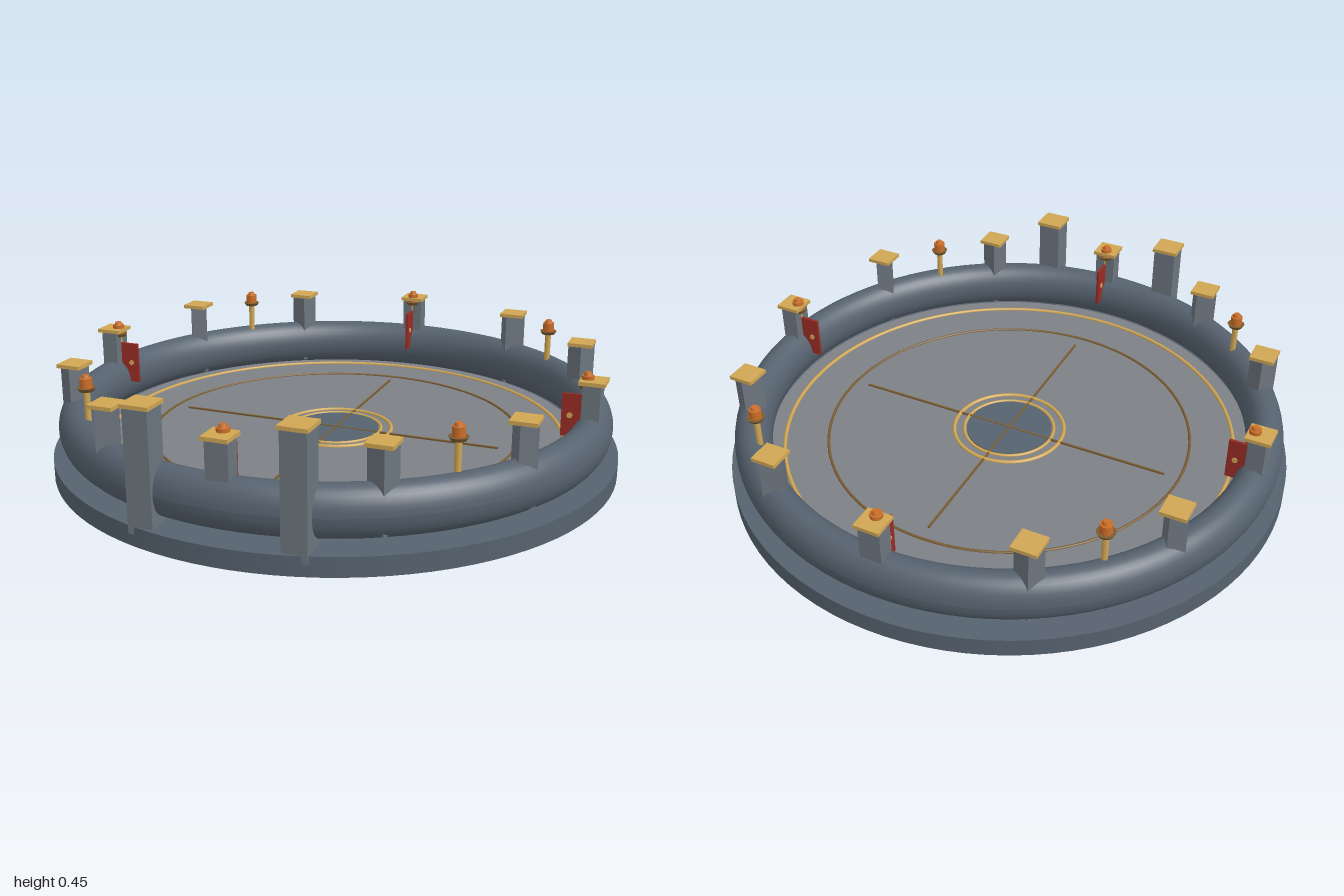
import * as THREE from 'three';

const mat = (color) => new THREE.MeshStandardMaterial({ color });
const slate = mat(0x56626f), stone = mat(0x6c757e), paving = mat(0x7d8185), gold = mat(0xd0a654);
const bronze = mat(0x7a5c32), orange = mat(0xcc6e28), red = mat(0x9a2c24);

function add(parent, name, geometry, material, x = 0, y = 0, z = 0) {
  const mesh = new THREE.Mesh(geometry, material);
  mesh.name = name;
  mesh.position.set(x, y, z);
  parent.add(mesh);
  return mesh;
}

// Upright cylinder given by its bottom and top heights
function disc(parent, name, r, y0, y1, material, sides = 96, rTop = r) {
  return add(parent, name, new THREE.CylinderGeometry(rTop, r, y1 - y0, sides), material, 0, (y0 + y1) / 2, 0);
}

// Square post with a flat gold cap; the cap stays square to the axes
function post(parent, name, x, z, turn, w, d, y0, y1, capSize) {
  const g = new THREE.Group();
  g.name = name;
  g.position.set(x, 0, z);
  add(g, 'postBody', new THREE.BoxGeometry(w, y1 - y0, d), stone, 0, (y0 + y1) / 2, 0).rotation.y = turn;
  add(g, 'postCap', new THREE.BoxGeometry(capSize, 0.013, capSize), gold, 0, y1 + 0.005, 0);
  parent.add(g);
}

export function createModel() {
  const model = new THREE.Group();
  model.name = 'arena';

  // Stepped base and floor
  disc(model, 'base', 1, 0, 0.065, slate);
  disc(model, 'floor', 0.87, 0.065, 0.095, paving);
  disc(model, 'centreDisc', 0.155, 0.095, 0.099, slate, 48);

  // Inlaid rings and cross lines
  for (const [r, t, m] of [[0.81, 0.007, gold], [0.655, 0.005, bronze], [0.2, 0.007, gold], [0.163, 0.006, gold]]) {
    add(model, 'floorRing', new THREE.TorusGeometry(r, t, 8, 96), m, 0, 0.096, 0).rotation.x = Math.PI / 2;
  }
  for (const turn of [0, Math.PI / 2]) {
    add(model, 'floorLine', new THREE.BoxGeometry(1.2, 0.008, 0.007), bronze, 0, 0.097, 0).rotation.y = turn;
  }

  // Rounded wall with an oval section
  const section = [];
  for (let i = 0; i <= 32; i++) {
    const a = (i / 32) * Math.PI * 2;
    section.push(new THREE.Vector2(0.91 + 0.065 * Math.cos(a), 0.17 + 0.085 * Math.sin(a)));
  }
  add(model, 'wall', new THREE.LatheGeometry(section, 96), slate);

  // Twelve wall posts
  for (let i = 0; i < 12; i++) {
    const a = (i * Math.PI) / 6;
    post(model, 'wallPost', 0.91 * Math.sin(a), 0.91 * Math.cos(a), -a, 0.076, 0.06, 0.1, 0.37, 0.088);
  }

  // Two tall gate pillars at the front
  for (const s of [-1, 1]) post(model, 'gatePillar', s * 0.25, 0.92, 0, 0.084, 0.084, 0.04, 0.44, 0.096);

  // Eight torches on poles
  for (let i = 0; i < 8; i++) {
    const a = (i * Math.PI) / 4;
    const g = new THREE.Group();
    g.name = 'torch';
    g.position.set(0.89 * Math.sin(a), 0, 0.89 * Math.cos(a));
    disc(g, 'torchPole', 0.011, 0.12, 0.355, gold, 10);
    disc(g, 'torchDish', 0.024, 0.35, 0.362, bronze, 16, 0.031);
    disc(g, 'torchFlame', 0.021, 0.36, 0.394, orange, 12);
    disc(g, 'torchTip', 0.015, 0.394, 0.405, orange, 12, 0.011);
    model.add(g);
  }

  // Four banners standing out from the inside of the wall
  for (let i = 0; i < 4; i++) {
    const g = new THREE.Group();
    g.name = 'banner';
    g.rotation.y = (i * Math.PI) / 2;
    add(g, 'bannerCloth', new THREE.BoxGeometry(0.01, 0.15, 0.07), red, 0, 0.25, 0.845);
    add(g, 'bannerStud', new THREE.CylinderGeometry(0.01, 0.01, 0.016, 12), gold, 0, 0.25, 0.838).rotation.z = Math.PI / 2;
    model.add(g);
  }
  return model;
}
